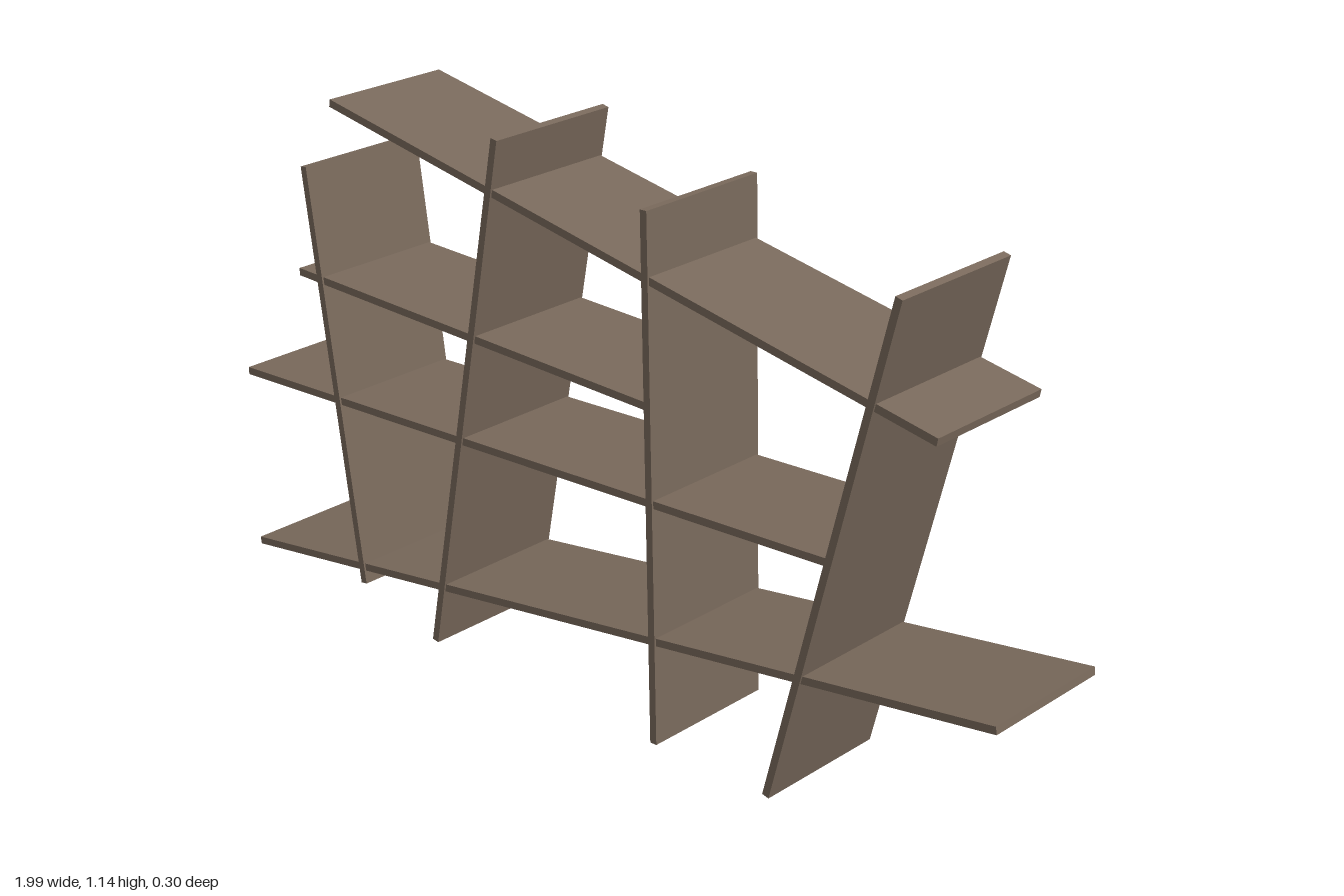
import * as THREE from 'three';

const THICK = 0.016;

export function createModel() {
  const group = new THREE.Group();
  const wood = new THREE.MeshStandardMaterial({ color: 0x7a6a5c });
  wood.name = 'brown wood';

  // Centre-line end points of each board, in the front plane
  const uprights = [
    [-0.644, 0.06, -0.777, 0.96],
    [-0.423, 0.002, -0.216, 1.138],
    [0.198, 0.001, 0.168, 1.088],
    [0.485, 0.002, 0.75, 1.07],
  ];
  const shelves = [
    [-0.992, 0.045, 0.994, 0.341],
    [-0.999, 0.449, 0.612, 0.532],
    [-0.81, 0.724, 0.174, 0.705],
    [-0.69, 1.111, 0.84, 0.834],
  ];
  // Shelves that pass through each upright and rest on cleats there
  const crossings = [[0, 1, 2], [0, 1, 2, 3], [0, 1, 3], [0, 3]];

  function board(name, [x1, y1, x2, y2], depth) {
    const length = Math.hypot(x2 - x1, y2 - y1);
    const mesh = new THREE.Mesh(new THREE.BoxGeometry(length, THICK, depth), wood);
    mesh.name = name;
    mesh.position.set((x1 + x2) / 2, (y1 + y2) / 2, 0);
    mesh.rotation.z = Math.atan2(y2 - y1, x2 - x1);
    group.add(mesh);
  }
  uprights.forEach((u, i) => board('upright' + (i + 1), u, 0.304));
  shelves.forEach((s, i) => board('shelf' + (i + 1), s, 0.296));

  function direction([x1, y1, x2, y2]) {
    return new THREE.Vector2(x2 - x1, y2 - y1).normalize();
  }

  function intersection(a, b) {
    const p = new THREE.Vector2(a[0], a[1]), q = new THREE.Vector2(b[0], b[1]);
    const d = direction(a), e = direction(b);
    const t = q.sub(p).cross(e) / d.cross(e);
    return p.addScaledVector(d, t);
  }

  // Support cleat: slanted block in the corner below a shelf, beside an upright
  function cleat(upright, shelf, side) {
    const c = intersection(upright, shelf);
    const along = direction(shelf), up = direction(upright);
    const corner = (a, u) => c.clone().addScaledVector(along, a * side).addScaledVector(up, u);
    const shape = new THREE.Shape([
      corner(0.007, -0.005), corner(0.024, -0.005),
      corner(0.024, -0.045), corner(0.007, -0.045),
    ]);
    const geometry = new THREE.ExtrudeGeometry(shape, { depth: 0.137, bevelEnabled: false });
    const mesh = new THREE.Mesh(geometry, wood);
    mesh.name = 'supportCleat';
    mesh.position.z = -0.145;
    group.add(mesh);
  }
  crossings.forEach((list, i) => {
    for (const s of list) for (const side of [-1, 1]) cleat(uprights[i], shelves[s], side);
  });

  return group;
}
